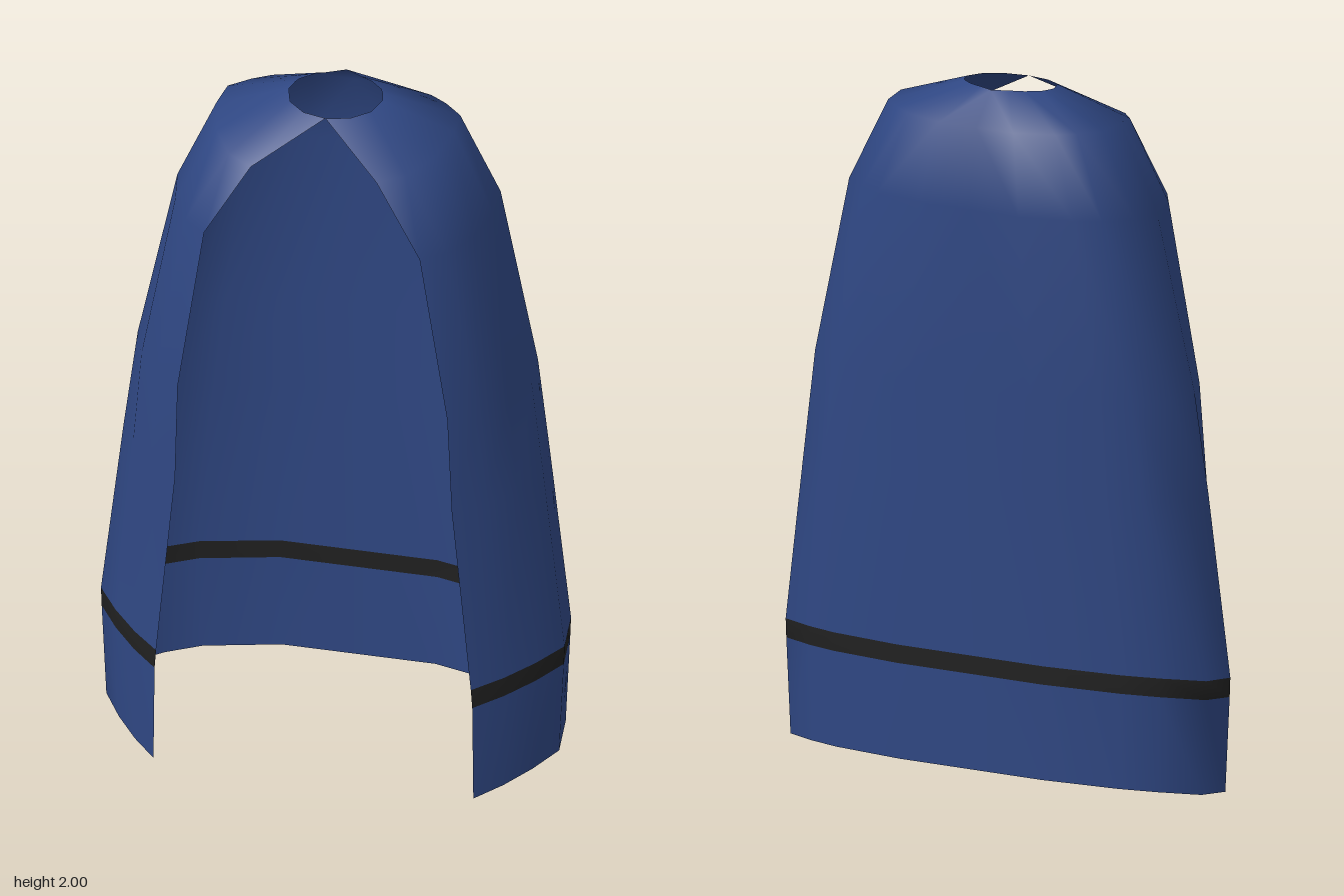
import * as THREE from 'three';

// Rows from hem to neck: front edge [x, y, z], side [x, y, z], back centre [y, z],
// and how round the front quarter is (0 straight, 1 elliptical).
const ROWS = [
  { front: [0.445, 0.0, 0.24], side: [0.63, 0.06, 0.03], back: [0.115, -0.25], round: 0.2 },
  { front: [0.442, 0.28, 0.24], side: [0.643, 0.33, 0.03], back: [0.385, -0.25], round: 0.2 },
  { front: [0.438, 0.335, 0.24], side: [0.645, 0.385, 0.03], back: [0.437, -0.25], round: 0.2 },
  { front: [0.385, 0.88, 0.24], side: [0.584, 0.9, 0.02], back: [0.92, -0.252], round: 0.45 },
  { front: [0.375, 1.17, 0.25], side: [0.548, 1.18, 0.01], back: [1.19, -0.254], round: 0.6 },
  { front: [0.3, 1.66, 0.257], side: [0.44, 1.68, 0], back: [1.7, -0.257], round: 0.8 },
  { front: [0.175, 1.87, 0.237], side: [0.33, 1.92, 0], back: [1.92, -0.212], round: 0.8 },
  { front: [0, 1.975, 0.11], side: [0.13, 1.988, 0], back: [2.0, -0.12], round: 1, neck: true },
];
// Back half profile from side to centre: fraction of width, fraction of depth
const BACK = [[0.98, 0.43], [0.82, 0.68], [0.67, 0.84], [0.34, 1], [0, 1]];
const NECK_BACK = [[0.93, 0.3], [0.88, 0.42], [0.62, 0.67], [0.32, 0.82], [0, 1]];
const lerp = THREE.MathUtils.lerp;

// One half of a row, running from the front edge round the side to the back centre
function halfRow({ front, side, back, round, neck }) {
  const points = [];
  for (let i = 0; i <= 3; i++) {
    const t = i / 3, a = t * Math.PI / 2;
    const across = lerp(t, Math.sin(a), round);
    const depth = lerp(1 - t, Math.cos(a), round);
    points.push([
      lerp(front[0], side[0], across),
      lerp(side[1], front[1], depth),
      lerp(side[2], front[2], depth),
    ]);
  }
  for (const [w, d] of neck ? NECK_BACK : BACK) {
    points.push([side[0] * w, lerp(side[1], back[0], d), lerp(side[2], back[1], d)]);
  }
  return points;
}

export function createModel() {
  const blue = new THREE.MeshStandardMaterial({ color: 0x2f4783, side: THREE.DoubleSide });
  blue.name = 'blue cloth';
  const black = new THREE.MeshStandardMaterial({ color: 0x202020, side: THREE.DoubleSide });
  black.name = 'black trim';

  // Loft the mirrored rows into one open sheet
  const positions = [], indices = [];
  let columns = 0;
  for (const row of ROWS) {
    const half = halfRow(row);
    const mirrored = half.slice(0, -1).reverse().map(([x, y, z]) => [-x, y, z]);
    const full = [...half, ...mirrored];
    columns = full.length;
    positions.push(...full.flat());
  }
  const geometry = new THREE.BufferGeometry();
  for (let r = 0; r < ROWS.length - 1; r++) {
    const start = indices.length;
    for (let c = 0; c < columns - 1; c++) {
      const a = r * columns + c, b = a + columns;
      // Flip the diagonal on the far half to keep the sheet symmetric
      if (c < (columns - 1) / 2) indices.push(a, a + 1, b + 1, a, b + 1, b);
      else indices.push(a, a + 1, b, a + 1, b + 1, b);
    }
    // The second band up is the trim stripe
    geometry.addGroup(start, indices.length - start, r === 1 ? 1 : 0);
  }
  geometry.setAttribute('position', new THREE.Float32BufferAttribute(positions, 3));
  geometry.setIndex(indices);
  geometry.computeVertexNormals();

  const cape = new THREE.Mesh(geometry, [blue, black]);
  cape.name = 'cape';
  const group = new THREE.Group();
  group.name = 'stripedCape';
  group.add(cape);
  return group;
}
